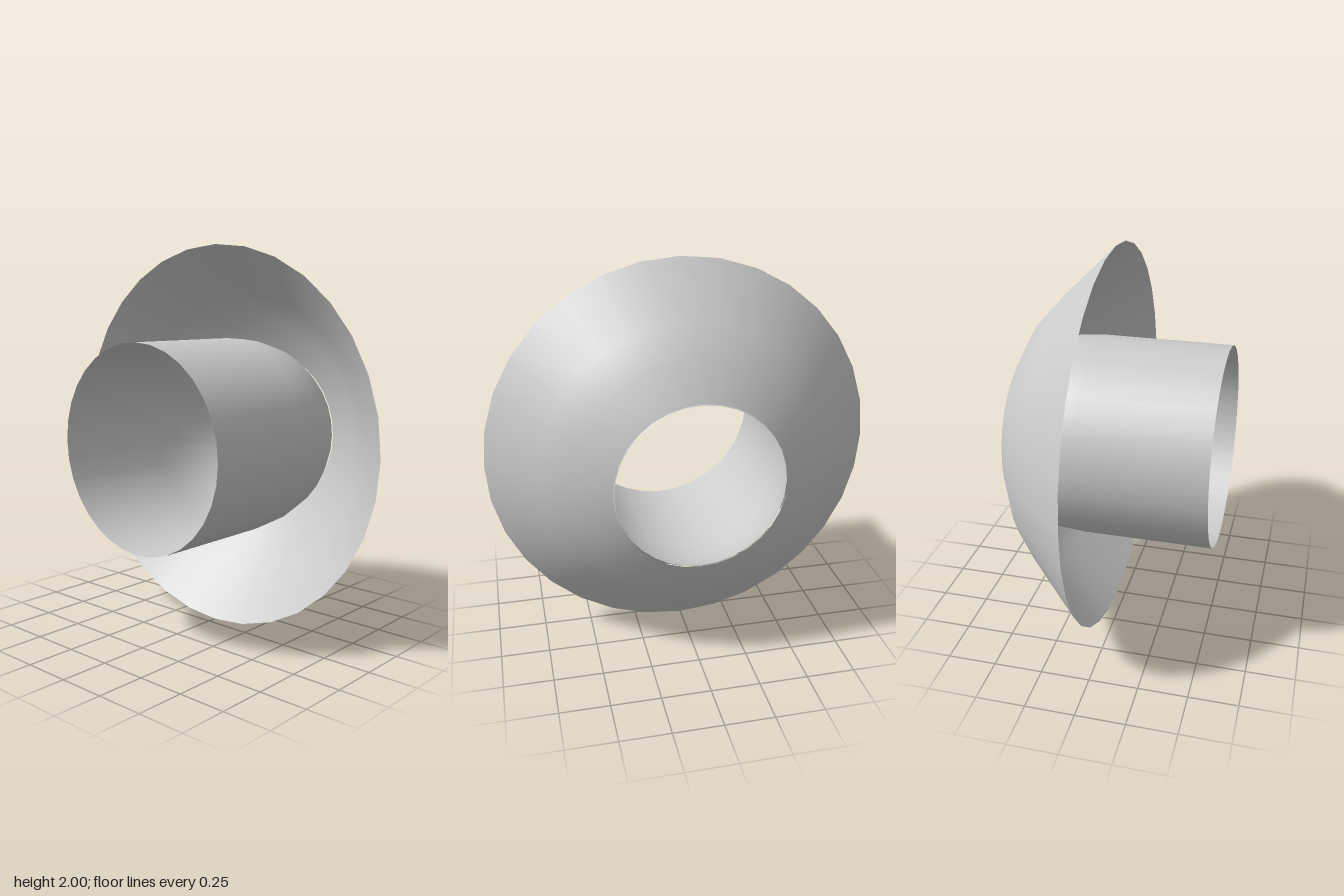
import * as THREE from 'three';

const SEGMENTS = 32;

// Open shell turned around the z axis; profile points are [radius, z], back to front
function turnedShell(name, profile, material) {
  const points = profile.map(([r, z]) => new THREE.Vector2(r, z));
  const geometry = new THREE.LatheGeometry(points, SEGMENTS);
  geometry.rotateX(Math.PI / 2);
  const mesh = new THREE.Mesh(geometry, material);
  mesh.name = name;
  mesh.position.y = 1;
  return mesh;
}

export function createModel() {
  const model = new THREE.Group();
  model.name = 'flaredSleeve';

  const grey = new THREE.MeshStandardMaterial({ color: 0xcccccc, side: THREE.DoubleSide });
  grey.name = 'light grey';

  // Domed flange, open at the middle and towards the front
  model.add(turnedShell('flange', [
    [0.424, -0.523], [0.61, -0.425], [0.745, -0.305], [1, -0.046],
  ], grey));

  // Hollow sleeve, narrowing towards the hole in the flange
  model.add(turnedShell('sleeve', [
    [0.418, -0.522], [0.475, -0.42], [0.51, -0.28], [0.52, -0.14], [0.52, 0.523],
  ], grey));

  return model;
}
